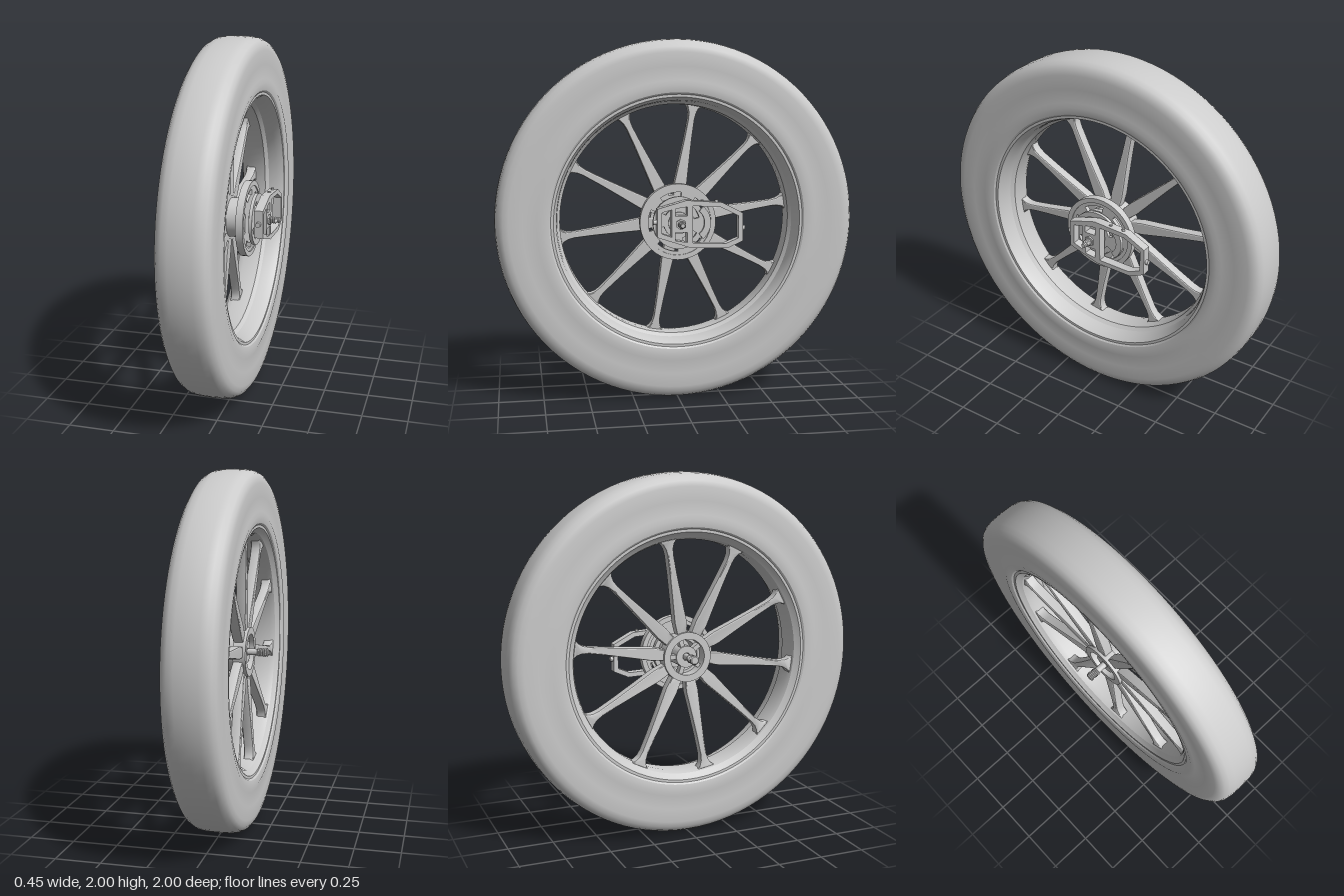
import * as THREE from 'three';
import { toCreasedNormals } from 'three/addons/utils/BufferGeometryUtils.js';

const material = new THREE.MeshStandardMaterial({ color: 0xcccccc });
const MID = -0.033; // axial middle of tyre and rim

// The wheel is built with its axle along local z, then turned so z becomes world x.
export function createModel() {
  const model = new THREE.Group();
  const wheel = new THREE.Group();
  wheel.name = 'wheel';
  wheel.rotation.y = Math.PI / 2;
  wheel.position.y = 1;
  model.add(wheel);

  const add = (name, geometry, parent = wheel) => {
    const mesh = new THREE.Mesh(geometry, material);
    mesh.name = name;
    parent.add(mesh);
    return mesh;
  };
  // Profile of [radius, axial] points, counter-clockwise
  const lathe = (name, points, segments = 48, crease = 0.5) => {
    const g = new THREE.LatheGeometry(points.map(([r, a]) => new THREE.Vector2(r, a)), segments);
    return add(name, toCreasedNormals(g.rotateX(Math.PI / 2), crease));
  };
  const ring = (name, inner, outer, a0, a1) =>
    lathe(name, [[inner, a0], [outer, a0], [outer, a1], [inner, a1], [inner, a0]]);
  const extrude = (name, shape, a0, a1) => {
    const g = new THREE.ExtrudeGeometry(shape, { depth: a1 - a0, bevelEnabled: false, curveSegments: 24 });
    return add(name, toCreasedNormals(g.translate(0, 0, a0), 0.5));
  };
  const polygon = (points, Type = THREE.Path) => new Type(points.map(([x, y]) => new THREE.Vector2(x, y)));
  const circle = (x, y, r) => new THREE.Path().absarc(x, y, r, 0, Math.PI * 2, false);
  const arcSlot = (inner, outer, from, to) => {
    const p = new THREE.Path();
    p.absarc(0, 0, outer, from, to, false);
    p.absarc(0, 0, inner, to, from, true);
    p.closePath();
    return p;
  };
  const slottedDisc = (name, radius, bore, slots, inner, outer, span, a0, a1) => {
    const s = new THREE.Shape().absarc(0, 0, radius, 0, Math.PI * 2, false);
    s.holes.push(circle(0, 0, bore));
    for (let i = 0; i < slots; i++) {
      const a = (i + 0.15) * Math.PI * 2 / slots;
      s.holes.push(arcSlot(inner, outer, a, a + span));
    }
    return extrude(name, s, a0, a1);
  };

  // Tyre: mirrored half profile of [radius, half width]
  const half = [[0.685, 0.118], [0.71, 0.138], [0.75, 0.145], [0.775, 0.139], [0.85, 0.142], [0.925, 0.142],
    [0.955, 0.136], [0.978, 0.12], [0.992, 0.095], [0.998, 0.06], [1, 0]];
  lathe('tyre', [
    ...half.map(([r, w]) => [r, MID - w]),
    ...half.slice(0, -1).reverse().map(([r, w]) => [r, MID + w]),
    [half[0][0], MID - half[0][1]],
  ], 96);

  // Rim with a stepped inner barrel
  lathe('rim', [[0.685, -0.13], [0.7, -0.13], [0.7, 0.13], [0.685, 0.13], [0.678, 0.115], [0.668, 0.085],
    [0.663, 0.04], [0.646, 0.02], [0.643, -0.075], [0.655, -0.105], [0.675, -0.12], [0.685, -0.13]]
    .map(([r, a]) => [r, a + MID]), 96);

  // Ten tapering spokes that flare into the rim
  const side = [[0.115, 0.03], [0.2, 0.036], [0.33, 0.028], [0.46, 0.021], [0.57, 0.018], [0.605, 0.022],
    [0.63, 0.033], [0.652, 0.055]];
  const spokeShape = polygon([
    ...side.map(([r, w]) => [w, r]),
    ...side.map(([r, w]) => [-w, r]).reverse(),
  ], THREE.Shape);
  const spokeGeometry = new THREE.ExtrudeGeometry(spokeShape, {
    depth: 0.036, bevelThickness: 0.01, bevelSize: 0.006, bevelOffset: -0.006, bevelSegments: 2,
  });
  // Spokes lean slightly outward towards the rim
  const pos = spokeGeometry.attributes.position;
  for (let i = 0; i < pos.count; i++) pos.setZ(i, pos.getZ(i) - 0.095 - 0.035 * pos.getY(i));
  const spokes = toCreasedNormals(spokeGeometry, 0.6);
  for (let i = 0; i < 10; i++) {
    add('spoke', spokes).rotation.z = (8 + 36 * i - 90) * Math.PI / 180;
  }

  // Hub: open outer ring, core, brake side discs
  ring('hubRing', 0.1, 0.138, -0.125, -0.055);
  for (let i = 0; i < 5; i++) {
    const a = i * Math.PI * 2 / 5;
    const web = add('hubWeb', new THREE.BoxGeometry(0.07, 0.025, 0.04));
    web.position.set(Math.cos(a) * 0.08, Math.sin(a) * 0.08, -0.08);
    web.rotation.z = a;
  }
  ring('hubCore', 0.022, 0.06, -0.11, 0.11);
  ring('hubBarrel', 0.085, 0.11, -0.06, 0.04);
  slottedDisc('hubDisc', 0.21, 0.06, 5, 0.135, 0.165, 0.75, 0.035, 0.06);
  ring('hubDiscRim', 0.185, 0.212, 0.025, 0.066);
  slottedDisc('innerDisc', 0.145, 0.04, 4, 0.085, 0.115, 0.8, 0.082, 0.1);

  // Threaded axle ends on a plain rod
  const thread = (name, r, a0, a1) => {
    const points = [[0, a0]];
    const turns = Math.round((a1 - a0) / 0.01);
    for (let i = 0; i < turns; i++) {
      const a = a0 + (a1 - a0) * i / turns;
      points.push([r * 0.78, a], [r, a + (a1 - a0) / turns / 2]);
    }
    points.push([r * 0.78, a1], [0, a1]);
    lathe(name, points, 20);
  };
  lathe('axle', [[0, -0.2], [0.018, -0.2], [0.018, 0.17], [0, 0.17]], 24);
  thread('outerAxleThread', 0.025, -0.225, -0.165);
  thread('innerAxleThread', 0.02, 0.15, 0.205);
  thread('axleTip', 0.014, 0.2, 0.225);

  // Mounting bracket: long eight-sided frame with an open end
  const frame = polygon([[-0.13, -0.07], [0.05, -0.13], [0.26, -0.138], [0.345, -0.1], [0.345, 0.055],
    [0.23, 0.115], [0.03, 0.13], [-0.13, 0.085]], THREE.Shape);
  frame.holes.push(
    polygon([[0.065, -0.105], [0.25, -0.112], [0.32, -0.083], [0.32, 0.04], [0.22, 0.09], [0.065, 0.1]]),
    polygon([[-0.03, 0.045], [0.035, 0.045], [0.035, 0.095], [-0.03, 0.085]]),
    polygon([[-0.03, -0.09], [0.035, -0.1], [0.035, -0.045], [-0.03, -0.045]]),
    polygon([[-0.105, -0.05], [-0.05, -0.07], [-0.05, 0.08], [-0.105, 0.065]]),
    circle(0, 0, 0.018),
  );
  extrude('mountingBracket', frame, 0.11, 0.16);

  // Curved arm inside the open bracket
  const arm = new THREE.Shape();
  arm.absarc(0.06, 0, 0.115, -0.9, 0.9, false);
  arm.absarc(0.06, 0, 0.08, 0.9, -0.9, true);
  arm.closePath();
  extrude('curvedArm', arm, 0.095, 0.115);

  // Axle nut and bracket screws
  const nut = add('axleNut', new THREE.CylinderGeometry(0.03, 0.03, 0.02, 6).toNonIndexed());
  nut.geometry.computeVertexNormals();
  nut.rotation.x = Math.PI / 2;
  nut.position.z = 0.16;
  for (const [x, y] of [[0.345, -0.03], [-0.135, 0.01]]) {
    const screw = add('bracketScrew', new THREE.CylinderGeometry(0.014, 0.014, 0.03, 16));
    screw.rotation.z = Math.PI / 2;
    screw.position.set(x, y, 0.135);
  }
  for (const x of [0.12, 0.2]) {
    const pin = add('bracketPin', new THREE.CylinderGeometry(0.009, 0.009, 0.02, 12));
    pin.position.set(x, 0.119, 0.135);
  }
  return model;
}
